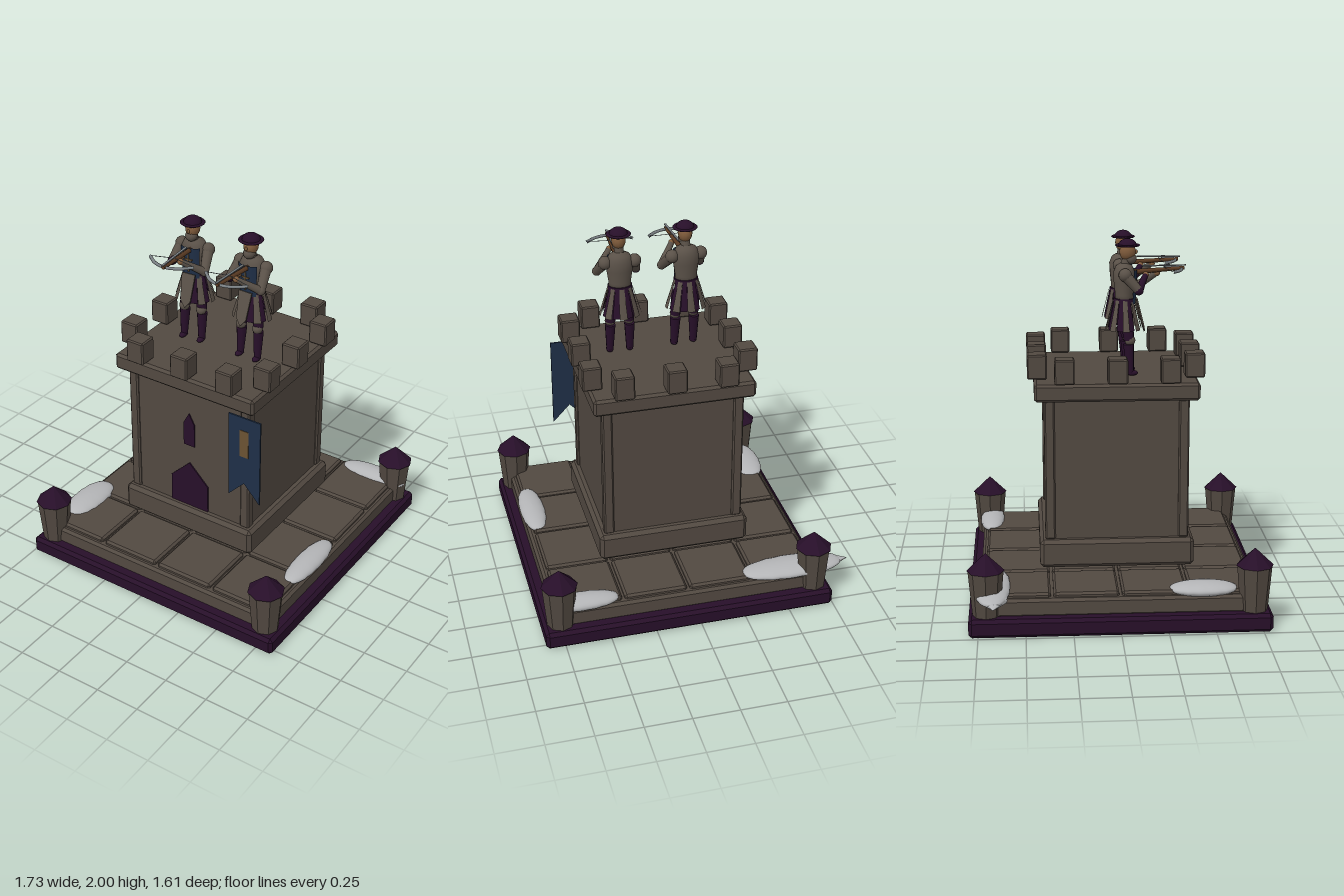
import * as THREE from 'three';
import { ConvexGeometry } from 'three/addons/geometries/ConvexGeometry.js';

const mat = (name, color, extra = {}) => {
  const m = new THREE.MeshStandardMaterial({ color, ...extra });
  m.name = name;
  return m;
};
const stone = mat('stone', 0x524941);
const purple = mat('dark purple', 0x270f29);
const blue = mat('banner blue', 0x1f2f47);
const gold = mat('dull gold', 0x6b5232);
const snow = mat('snow', 0xb4b5b7);
const skin = mat('skin', 0x805c3c);
const steel = mat('steel', 0x7c8286);
const wood = mat('wood', 0x5c3c24);
const cloth = mat('grey cloth', 0x5a5148);
for (const m of [blue, purple, cloth]) m.side = THREE.DoubleSide;

const CX = 0.055; // centre line of the tower and base
const V = (x, y, z) => new THREE.Vector3(x, y, z);

function add(parent, name, geo, material, x = 0, y = 0, z = 0) {
  const m = new THREE.Mesh(geo, material);
  m.name = name;
  m.position.set(x, y, z);
  parent.add(m);
  return m;
}

// Box with chamfered edges, as a hull of three points per corner
function chamferBox(w, h, d, c) {
  const pts = [];
  for (const a of [-1, 1]) for (const b of [-1, 1]) for (const e of [-1, 1]) {
    const [x, y, z] = [a * w / 2, b * h / 2, e * d / 2];
    pts.push(V(x, y - b * c, z - e * c), V(x - a * c, y, z - e * c), V(x - a * c, y - b * c, z));
  }
  return new ConvexGeometry(pts);
}

// Flat plate cut from an outline
function plate(points, depth = 0.008) {
  const s = new THREE.Shape(points.map(p => new THREE.Vector2(...p)));
  return new THREE.ExtrudeGeometry(s, { depth, bevelEnabled: false });
}

// Tapered round limb between two points
function limb(parent, name, a, b, ra, rb, material, sides = 10) {
  const d = b.clone().sub(a);
  const m = add(parent, name, new THREE.CylinderGeometry(rb, ra, d.length(), sides), material);
  m.position.copy(a).addScaledVector(d, 0.5);
  m.quaternion.setFromUnitVectors(V(0, 1, 0), d.normalize());
  return m;
}

function ball(parent, name, r, material, x, y, z, sx = 1, sy = 1, sz = 1) {
  const m = add(parent, name, new THREE.SphereGeometry(r, 14, 10), material, x, y, z);
  m.scale.set(sx, sy, sz);
  return m;
}

// Long low drift with a rippled rim; long axis along x
function drift(length, width, height) {
  const g = new THREE.SphereGeometry(1, 36, 14);
  const p = g.attributes.position;
  for (let i = 0; i < p.count; i++) {
    const x = p.getX(i), y = p.getY(i), z = p.getZ(i);
    const ripple = 1 + 0.04 * Math.sin(x * 17) * Math.abs(z);
    const fat = 1 / Math.pow(Math.max(1 - x * x, 0.05), 0.12);
    p.setXYZ(i, x * length / 2, y * height / 2, z * fat * ripple * width / 2);
  }
  g.computeVertexNormals();
  return g;
}

function buildBase(root) {
  const g = new THREE.Group();
  g.name = 'base';
  root.add(g);
  add(g, 'plinth', chamferBox(1.6, 0.1, 1.6, 0.018), purple, CX, 0.05, 0);
  add(g, 'courtyard', chamferBox(1.48, 0.1, 1.48, 0.015), stone, CX, 0.14, 0);
  const tile = chamferBox(0.345, 0.04, 0.345, 0.012);
  for (let i = 0; i < 4; i++) for (let j = 0; j < 4; j++)
    add(g, 'pavingSlab', tile, stone, CX + (i - 1.5) * 0.36, 0.193, (j - 1.5) * 0.36);

  // Corner turrets
  const body = new THREE.CylinderGeometry(0.094, 0.073, 0.245, 8).toNonIndexed();
  const roof = new THREE.ConeGeometry(0.1, 0.095, 8).toNonIndexed();
  body.computeVertexNormals();
  roof.computeVertexNormals();
  for (const a of [-1, 1]) for (const b of [-1, 1]) {
    add(g, 'turret', body, stone, CX + a * 0.706, 0.2225, b * 0.706);
    add(g, 'turretRoof', roof, purple, CX + a * 0.706, 0.392, b * 0.706);
  }

  // Drifts
  add(g, 'backRightDrift', drift(0.56, 0.19, 0.075), snow, -0.54, 0.21, -0.675);
  const tip = limb(g, 'driftTip', V(-0.73, 0.205, -0.67), V(-0.865, 0.203, -0.665), 0.075, 0.001, snow, 14);
  tip.scale.x = 0.4;
  tip.rotation.set(0, 0, Math.PI / 2);
  tip.scale.set(0.42, 1, 1);
  add(g, 'backLeftDrift', drift(0.4, 0.14, 0.075), snow, 0.64, 0.208, -0.69);
  add(g, 'frontRightDrift', drift(0.36, 0.18, 0.075), snow, -0.61, 0.208, 0.44).rotation.y = Math.PI / 2;
  add(g, 'frontLeftDrift', drift(0.43, 0.14, 0.075), snow, 0.74, 0.208, 0.235).rotation.y = Math.PI / 2;
}

function buildTower(root) {
  const g = new THREE.Group();
  g.name = 'tower';
  g.position.x = CX;
  root.add(g);
  add(g, 'footing', chamferBox(0.835, 0.155, 0.835, 0.02), stone, 0, 0.322, 0);
  add(g, 'walls', new THREE.BoxGeometry(0.75, 0.79, 0.75), stone, 0, 0.785, 0);
  add(g, 'parapet', chamferBox(0.88, 0.095, 0.88, 0.014), stone, 0, 1.218, 0);
  const pillar = chamferBox(0.056, 0.77, 0.056, 0.008);
  for (const a of [-1, 1]) for (const b of [-1, 1])
    add(g, 'cornerPillar', pillar, stone, a * 0.36, 0.783, b * 0.36);

  // Three merlons on each side
  const merlon = chamferBox(0.106, 0.132, 0.106, 0.007);
  for (let k = 0; k < 4; k++) for (const t of [-0.28, 0, 0.28]) {
    const p = V(t, 1.338, 0.422).applyAxisAngle(V(0, 1, 0), k * Math.PI / 2);
    add(g, 'merlon', merlon, stone, p.x, p.y, p.z);
  }

  // Painted door and window
  add(g, 'door', plate([[-0.12, 0.4], [0.12, 0.4], [0.12, 0.565], [0, 0.685], [-0.12, 0.565]]), purple, 0, 0, 0.374);
  add(g, 'window', plate([[-0.035, 0.8], [0.035, 0.8], [0.035, 0.94], [0, 1.005], [-0.035, 0.94]]), purple, 0, 0, 0.374);

  // Swallow-tailed banner
  add(g, 'banner', plate([[0.305, 1.165], [0.305, 0.65], [0.4025, 0.753], [0.5, 0.65], [0.5, 1.165]], 0.009), blue, 0, 0, 0.449);
  add(g, 'bannerEmblem', new THREE.BoxGeometry(0.054, 0.163, 0.004), gold, 0.4025, 1.005, 0.459);
}

function buildCrossbow(parent) {
  const g = new THREE.Group();
  g.name = 'crossbow';
  g.position.set(0.005, 0.562, 0);
  parent.add(g);
  limb(g, 'stock', V(0, -0.012, 0.04), V(0, 0.004, 0.31), 0.014, 0.01, wood, 6);
  add(g, 'boltRail', new THREE.BoxGeometry(0.012, 0.006, 0.24), steel, 0, 0.019, 0.2);
  const curve = new THREE.CatmullRomCurve3([V(-0.13, 0, 0.225), V(-0.07, 0, 0.275), V(0, 0, 0.295), V(0.07, 0, 0.275), V(0.13, 0, 0.225)]);
  add(g, 'bowLimbs', new THREE.TubeGeometry(curve, 20, 0.009, 6), steel);
  for (const s of [-1, 1]) limb(g, 'bowString', V(s * 0.13, 0.004, 0.225), V(0, 0.01, 0.2), 0.002, 0.002, steel, 4);
}

function buildSoldier(root, x, turn) {
  const g = new THREE.Group();
  g.name = 'crossbowman';
  g.position.set(x, 1.27, 0.065);
  g.rotation.y = turn;
  root.add(g);

  // Legs
  for (const s of [-1, 1]) {
    limb(g, 'thigh', V(s * 0.052, 0.19, 0.005), V(s * 0.042, 0.33, -0.01), 0.028, 0.036, purple);
    ball(g, 'knee', 0.029, cloth, s * 0.052, 0.19, 0.01);
    limb(g, 'boot', V(s * 0.055, 0.01, 0.012), V(s * 0.053, 0.17, 0.002), 0.019, 0.029, purple);
    ball(g, 'foot', 0.02, purple, s * 0.055, 0.012, 0.022, 0.95, 0.75, 1.6);
  }

  // Pleated skirt of alternating panels
  const n = 16, step = Math.PI * 2 / n;
  for (let i = 0; i < n; i++) {
    const outer = i % 2 === 0;
    const panel = new THREE.CylinderGeometry(outer ? 0.066 : 0.062, outer ? 0.114 : 0.1, 0.16, 2, 1, true, (i - 0.5) * step, step);
    add(g, 'skirtPanel', panel, outer ? cloth : purple, 0, 0.325, -0.018).scale.z = 0.86;
  }
  const flap = add(g, 'frontFlap', plate([[-0.04, 0], [-0.03, -0.15], [0, -0.19], [0.03, -0.15], [0.04, 0]]), cloth, 0, 0.41, 0.045);
  flap.rotation.x = -0.25;

  // Torso, belt and tabard
  const profile = [[0.001, 0.38], [0.062, 0.38], [0.06, 0.43], [0.07, 0.5], [0.073, 0.55], [0.055, 0.585], [0.026, 0.6]];
  const torso = add(g, 'torso', new THREE.LatheGeometry(profile.map(p => new THREE.Vector2(...p)), 20), cloth, 0, 0, -0.015);
  torso.scale.z = 0.8;
  add(g, 'belt', new THREE.CylinderGeometry(0.066, 0.068, 0.025, 20), purple, 0, 0.4, -0.015).scale.z = 0.85;
  const tabard = new THREE.CylinderGeometry(0.077, 0.068, 0.18, 10, 1, true, -0.85, 1.7);
  add(g, 'tabard', tabard, blue, 0, 0.475, -0.015).scale.z = 0.9;
  add(g, 'crossUpright', new THREE.BoxGeometry(0.008, 0.1, 0.006), gold, 0, 0.475, 0.052);
  add(g, 'crossBar', new THREE.BoxGeometry(0.045, 0.008, 0.006), gold, 0, 0.495, 0.052);

  // Arms reaching for the crossbow
  for (const s of [-1, 1]) {
    const shoulder = V(s * 0.08, 0.545, -0.02);
    const elbow = s > 0 ? V(0.108, 0.46, 0.07) : V(-0.1, 0.465, 0.05);
    const hand = s > 0 ? V(0.02, 0.54, 0.165) : V(-0.01, 0.535, 0.1);
    ball(g, 'shoulder', 0.036, cloth, ...shoulder.toArray());
    limb(g, 'upperArm', shoulder, elbow, 0.031, 0.024, cloth);
    ball(g, 'elbow', 0.025, s > 0 ? cloth : purple, ...elbow.toArray());
    limb(g, 'forearm', elbow, hand, 0.023, 0.015, s > 0 ? cloth : purple);
    ball(g, 'hand', 0.017, skin, ...hand.toArray());
  }

  // Head and brimmed helmet
  limb(g, 'neck', V(0, 0.575, -0.01), V(0, 0.63, 0), 0.027, 0.024, cloth);
  ball(g, 'head', 0.045, skin, 0, 0.66, 0.003, 0.85, 1.1, 0.98);
  ball(g, 'beard', 0.034, cloth, 0, 0.622, 0.018, 0.95, 0.9, 1);
  ball(g, 'nose', 0.009, skin, 0, 0.658, 0.049, 0.8, 1.3, 1);
  const dome = new THREE.SphereGeometry(0.05, 16, 6, 0, Math.PI * 2, 0, Math.PI / 2);
  add(g, 'helmetDome', dome, purple, 0, 0.69, 0.003).scale.y = 0.8;
  const brim = add(g, 'helmetBrim', new THREE.TorusGeometry(0.056, 0.011, 6, 24), purple, 0, 0.694, 0.003);
  brim.rotation.x = Math.PI / 2;
  brim.scale.z = 0.5;

  buildCrossbow(g);
}

export function createModel() {
  const root = new THREE.Group();
  root.name = 'watchtower';
  buildBase(root);
  buildTower(root);
  buildSoldier(root, -0.125, 0.07);
  buildSoldier(root, 0.237, -0.03);
  return root;
}
